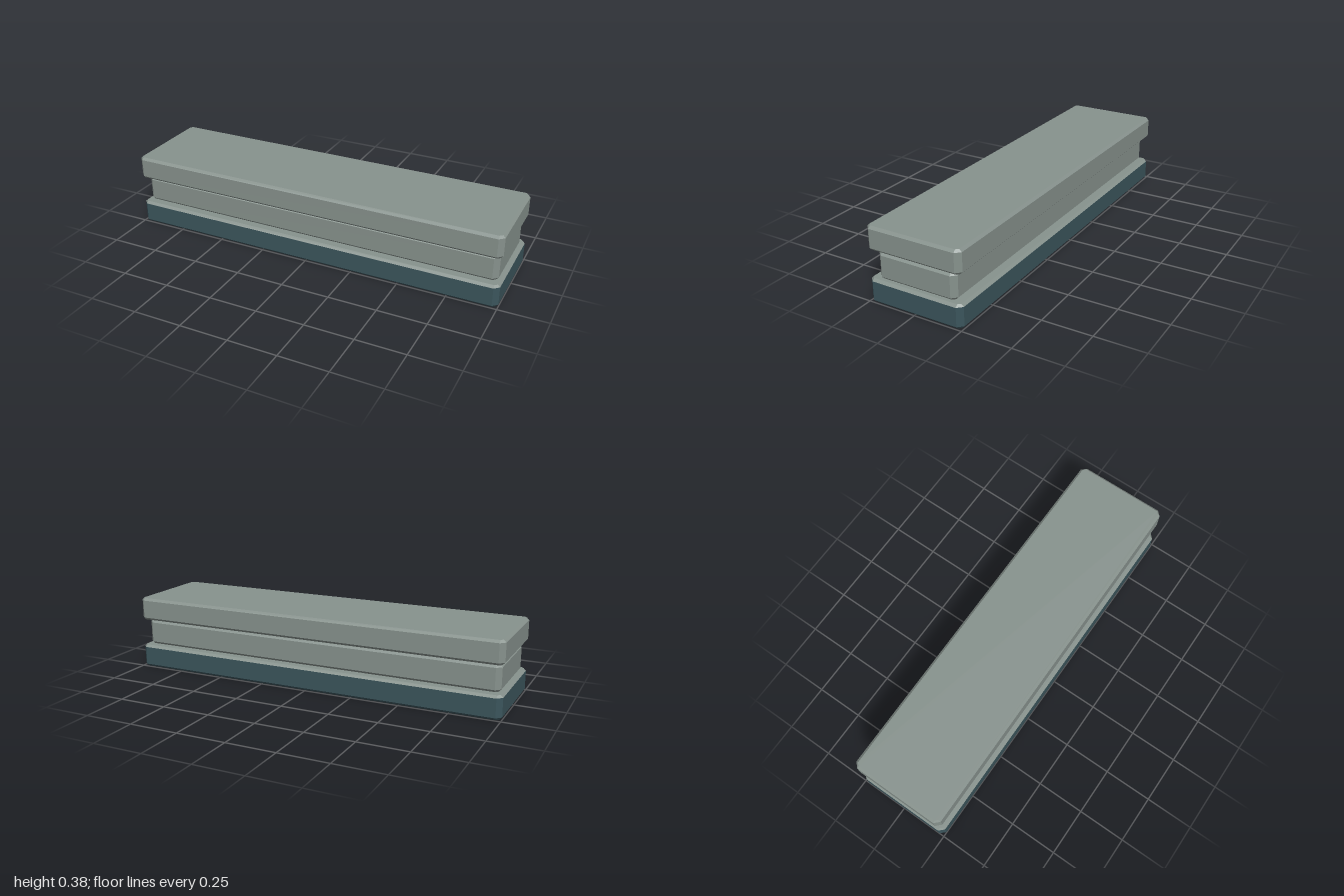
import * as THREE from 'three';

const CORNER = 0.025; // chamfer of the vertical corners
const BEVEL = 0.0125; // bevel along the top and bottom edges

const stone = new THREE.MeshStandardMaterial({ color: 0x87928d, flatShading: true });
const darkStone = new THREE.MeshStandardMaterial({ color: 0x3b555c, flatShading: true });

// Eight-cornered outline at height y, running anticlockwise seen from above
function ring(halfX, halfZ, y, inset = 0) {
  const x = halfX - inset, z = halfZ - inset, c = CORNER - inset;
  return [
    [x, z - c], [x, c - z], [x - c, -z], [c - x, -z],
    [-x, c - z], [-x, z - c], [c - x, z], [x - c, z],
  ].map(([px, pz]) => new THREE.Vector3(px, y, pz));
}

// Skin a stack of outlines from bottom to top, with optional end faces
function loft(name, rings, material, capBottom = true, capTop = true) {
  const points = [];
  const n = 8;
  for (let r = 0; r < rings.length - 1; r++) {
    const lo = rings[r], hi = rings[r + 1];
    for (let i = 0; i < n; i++) {
      const j = (i + 1) % n;
      points.push(lo[i], lo[j], hi[j], lo[i], hi[j], hi[i]);
    }
  }
  const bottom = rings[0], top = rings[rings.length - 1];
  for (let i = 1; i < n - 1; i++) {
    if (capBottom) points.push(bottom[0], bottom[i + 1], bottom[i]);
    if (capTop) points.push(top[0], top[i], top[i + 1]);
  }
  const geometry = new THREE.BufferGeometry().setFromPoints(points);
  geometry.computeVertexNormals();
  const mesh = new THREE.Mesh(geometry, material);
  mesh.name = name;
  return mesh;
}

// Complete slab with bevelled top and bottom edges
function slab(name, halfX, halfZ, y0, y1) {
  return loft(name, [
    ring(halfX, halfZ, y0, BEVEL),
    ring(halfX, halfZ, y0 + BEVEL),
    ring(halfX, halfZ, y1 - BEVEL),
    ring(halfX, halfZ, y1, BEVEL),
  ], stone);
}

export function createModel() {
  const model = new THREE.Group();
  model.name = 'layeredSlab';

  // Base: dark sides and underside, lighter bevelled top
  const base = new THREE.Group();
  base.name = 'base';
  base.add(
    loft('baseBody', [
      ring(1, 0.25, 0, BEVEL), ring(1, 0.25, BEVEL), ring(1, 0.25, 0.108),
    ], darkStone, true, false),
    loft('baseTop', [
      ring(1, 0.25, 0.108), ring(1, 0.25, 0.12, BEVEL),
    ], stone, false, true),
  );

  // Recessed middle layer, and the top layer just clear of it
  model.add(
    base,
    slab('middleSlab', 0.98, 0.21, 0.12, 0.252),
    slab('topSlab', 1, 0.25, 0.262, 0.381),
  );
  return model;
}
